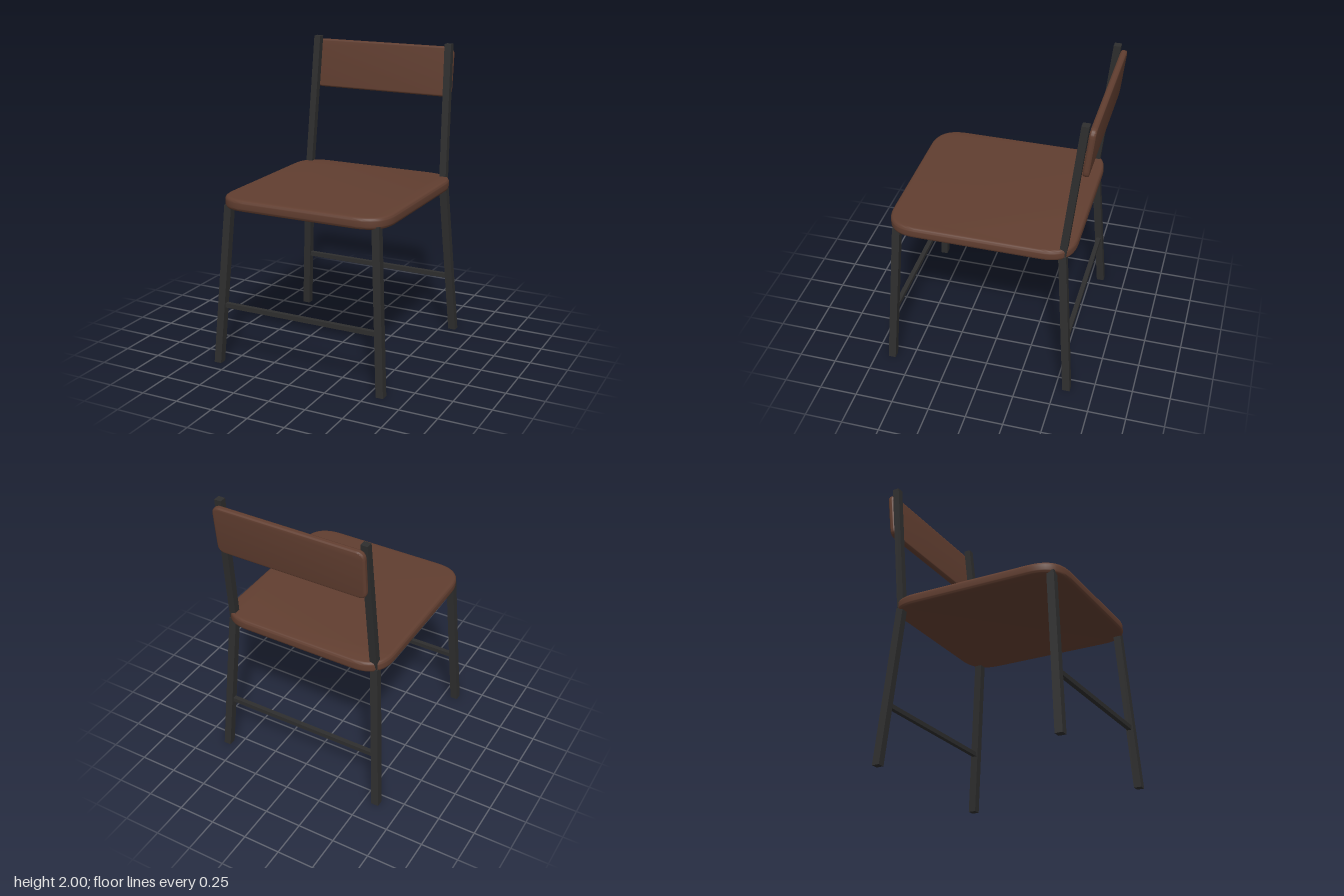
import * as THREE from 'three';
import { toCreasedNormals } from 'three/addons/utils/BufferGeometryUtils.js';

const wood = new THREE.MeshStandardMaterial({ color: 0x613e30 });
wood.name = 'brown wood';
const metal = new THREE.MeshStandardMaterial({ color: 0x2e2e2e });
metal.name = 'black metal';

// Square bar with level ends, sheared between two [x, y, z] centres
function bar(name, from, to, size = 0.05) {
  const geo = new THREE.BoxGeometry(size, to[1] - from[1], size);
  const p = geo.attributes.position;
  for (let i = 0; i < p.count; i++) {
    const end = p.getY(i) < 0 ? from : to;
    p.setXYZ(i, p.getX(i) + end[0], end[1], p.getZ(i) + end[2]);
  }
  geo.computeVertexNormals();
  const mesh = new THREE.Mesh(geo, metal);
  mesh.name = name;
  return mesh;
}

// Board with soft corners and rounded edges, centred, thickness along z
function board(name, width, height, depth, corner, bevel) {
  const x = width / 2, y = height / 2, c = corner;
  const s = new THREE.Shape();
  s.moveTo(-x + c, -y);
  s.lineTo(x - c, -y);
  s.quadraticCurveTo(x, -y, x, -y + c);
  s.lineTo(x, y - c);
  s.quadraticCurveTo(x, y, x - c, y);
  s.lineTo(-x + c, y);
  s.quadraticCurveTo(-x, y, -x, y - c);
  s.lineTo(-x, -y + c);
  s.quadraticCurveTo(-x, -y, -x + c, -y);
  const geo = new THREE.ExtrudeGeometry(s, {
    depth: depth - 2 * bevel, bevelThickness: bevel, bevelSize: bevel,
    bevelOffset: -bevel, bevelSegments: 5, curveSegments: 12,
  });
  geo.translate(0, 0, bevel - depth / 2);
  const mesh = new THREE.Mesh(toCreasedNormals(geo, 0.7), wood);
  mesh.name = name;
  return mesh;
}

export function createModel() {
  const chair = new THREE.Group();
  chair.name = 'chair';

  // Seat
  const seat = board('seat', 1.16, 1.21, 0.075, 0.2, 0.022);
  seat.rotation.x = -Math.PI / 2;
  seat.position.set(0, 1.0825, 0.035);
  chair.add(seat);

  // Backrest, leaning against the rear of the posts
  const backrest = board('backrest', 1.02, 0.335, 0.04, 0.055, 0.013);
  backrest.rotation.x = -0.105;
  backrest.position.set(0, 1.808, -0.624);
  chair.add(backrest);

  // Splayed legs and back posts on both sides
  for (const [side, s] of [['left', 1], ['right', -1]]) {
    chair.add(
      bar(side + 'FrontLeg', [s * 0.583, 0, 0.64], [s * 0.514, 1.065, 0.572]),
      bar(side + 'BackLeg', [s * 0.583, 0, -0.575], [s * 0.514, 1.065, -0.5]),
      bar(side + 'BackPost', [s * 0.512, 1.07, -0.5], [s * 0.488, 2, -0.597], 0.046),
    );
  }

  // Cross bars between the front legs and between the back legs
  for (const [name, z] of [['frontStretcher', 0.614], ['backStretcher', -0.547]]) {
    const rail = new THREE.Mesh(new THREE.BoxGeometry(1.11, 0.03, 0.03), metal);
    rail.name = name;
    rail.position.set(0, 0.397, z);
    chair.add(rail);
  }
  return chair;
}
